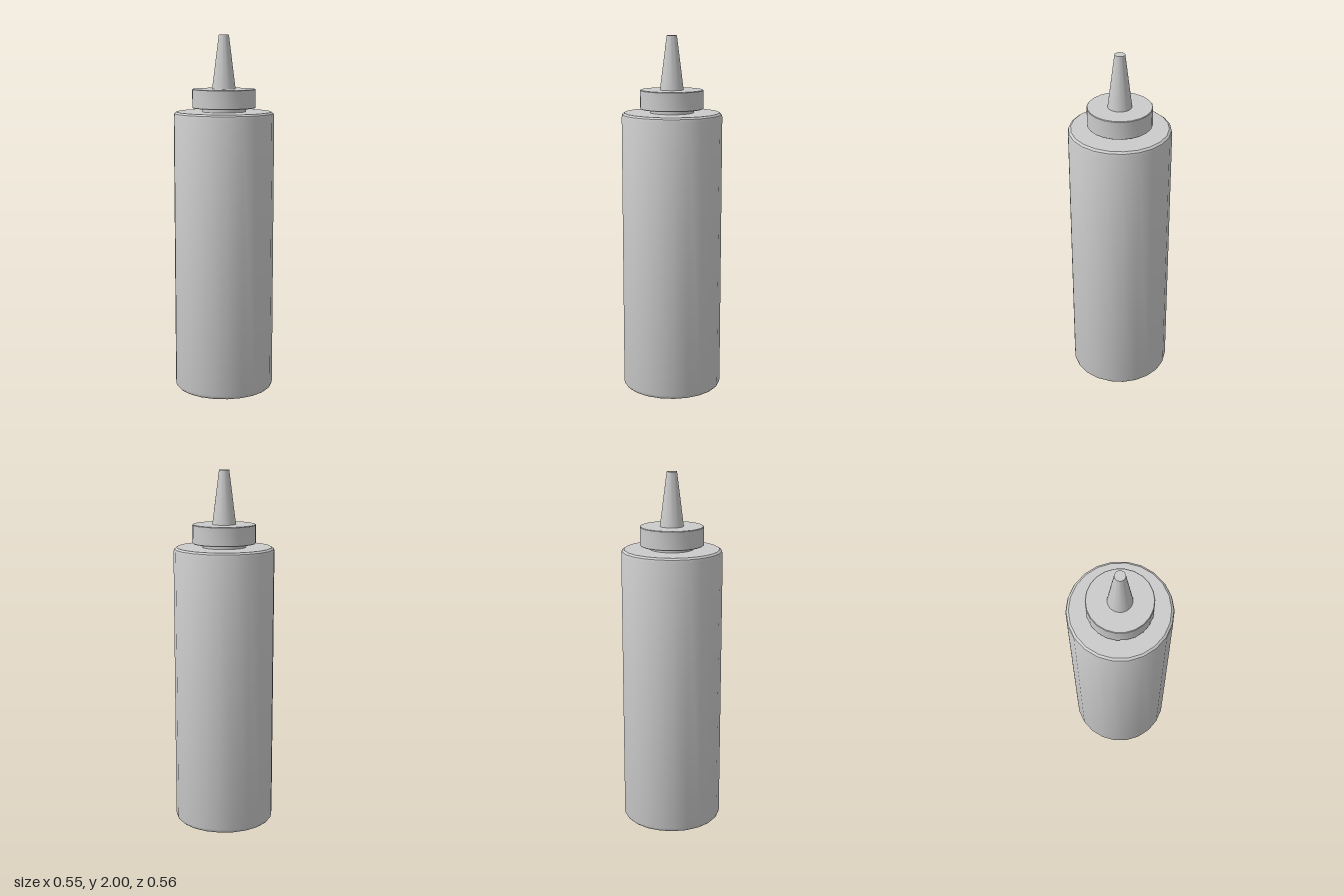
import * as THREE from 'three';
import { toCreasedNormals } from 'three/addons/utils/BufferGeometryUtils.js';

const material = new THREE.MeshStandardMaterial({ color: 0xcccccc });

// Turned part from [radius, height] pairs, listed from bottom to top
function turned(name, profile, sides) {
  const points = profile.map(([r, y]) => new THREE.Vector2(r, y));
  const geometry = toCreasedNormals(new THREE.LatheGeometry(points, sides), 0.6);
  const mesh = new THREE.Mesh(geometry, material);
  mesh.name = name;
  return mesh;
}

export function createModel() {
  const model = new THREE.Group();
  model.name = 'squeezeBottle';

  // Tall bottle with softened rims at base and shoulder
  model.add(turned('body', [
    [0, 0], [0.268, 0], [0.277, 0.009], [0.28, 0.022],
    [0.28, 1.558], [0.276, 1.571], [0.264, 1.58], [0, 1.58],
  ], 22));

  // Short neck between shoulder and cap
  model.add(turned('neck', [[0, 1.57], [0.122, 1.57], [0.122, 1.61], [0, 1.61]], 22));

  // Screw cap with fine bevels
  model.add(turned('cap', [
    [0, 1.6], [0.173, 1.6], [0.176, 1.603],
    [0.176, 1.702], [0.173, 1.705], [0, 1.705],
  ], 22));

  // Tapered spout with a flat closed tip
  model.add(turned('spout', [[0, 1.7], [0.066, 1.7], [0.028, 2], [0, 2]], 32));

  return model;
}
